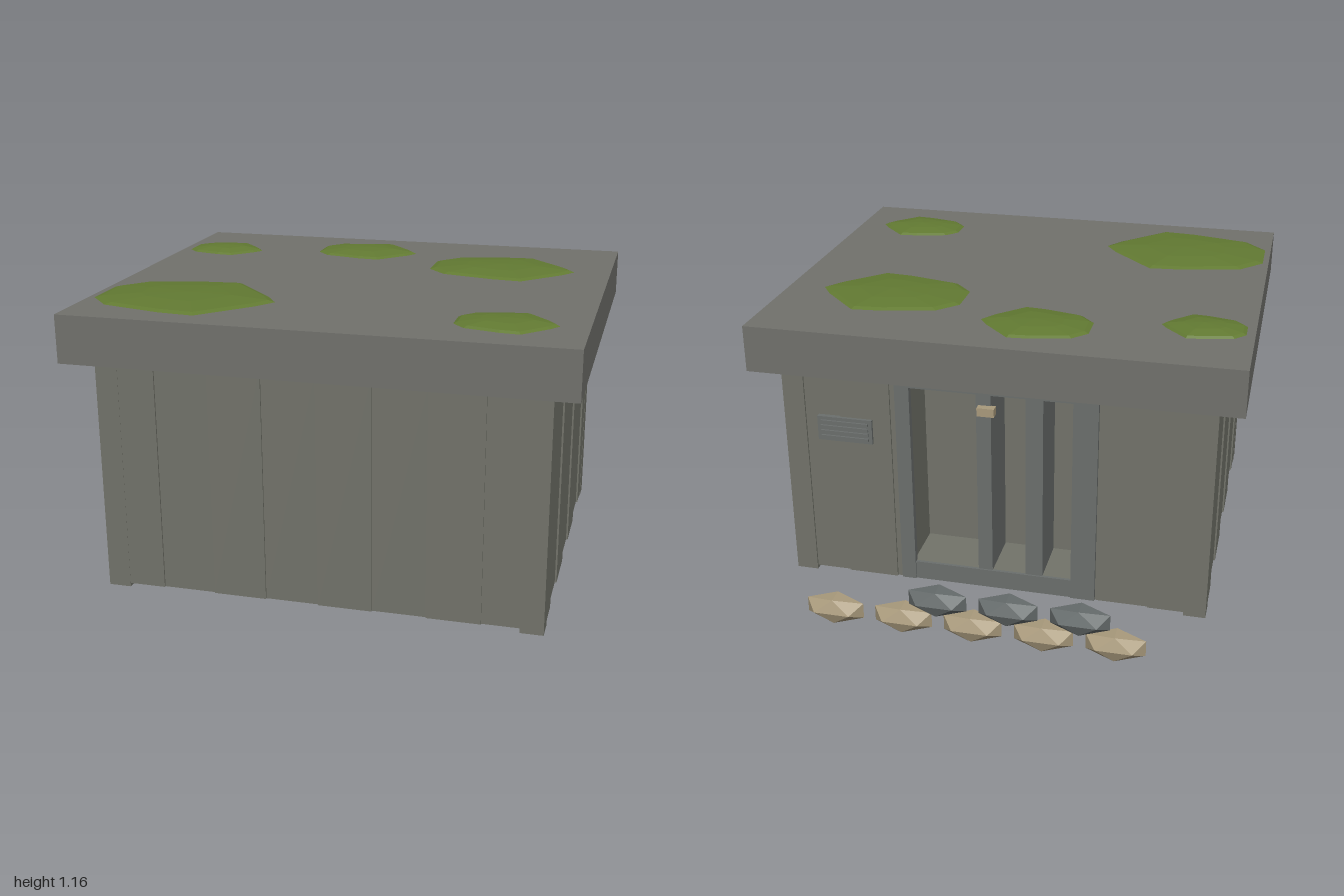
import * as THREE from 'three';

const mat = (name, color) => Object.assign(new THREE.MeshStandardMaterial({ color }), { name });

export function createModel() {
  const wall = mat('concrete', 0x72736a);
  const roofMat = mat('roof concrete', 0x71716c);
  const steel = mat('grey steel', 0x6b6f6d);
  const moss = mat('moss green', 0x627a32);
  const sand = mat('sandbag tan', 0xa99a7c);
  const slate = mat('sandbag grey', 0x656b6b);
  moss.flatShading = sand.flatShading = slate.flatShading = true;

  const model = new THREE.Group();
  const add = (name, geometry, material) => {
    const mesh = new THREE.Mesh(geometry, material);
    mesh.name = name;
    model.add(mesh);
    return mesh;
  };
  // Box given by its limits on each axis
  const box = (name, x0, x1, y0, y1, z0, z1, material = wall) => {
    const m = add(name, new THREE.BoxGeometry(x1 - x0, y1 - y0, z1 - z0), material);
    m.position.set((x0 + x1) / 2, (y0 + y1) / 2, (z0 + z1) / 2);
    return m;
  };

  // Slab roof and hollow-backed body
  box('roof', -0.975, 0.975, 0.95, 1.14, -0.69, 1);
  model.children[0].material = roofMat;
  box('body', -0.865, 0.865, 0.015, 0.95, -0.36, 0.89);
  box('backWallLeft', 0.35, 0.865, 0.015, 0.95, -0.58, -0.36);
  box('backWallRight', -0.865, -0.33, 0.015, 0.95, -0.58, -0.36);
  box('lintel', -0.33, 0.35, 0.9, 0.95, -0.58, -0.36);
  box('sill', -0.33, 0.35, 0.015, 0.1, -0.58, -0.36);

  // Corner posts, which carry the feet
  for (const x of [-0.83, 0.83])
    for (const z of [-0.545, 0.855])
      box('cornerPost', x - 0.045, x + 0.045, 0, 0.95, z - 0.045, z + 0.045);

  // Wall planks, alternately standing proud
  const step = (i) => (i % 2 ? 0.002 : 0.009);
  for (let i = 0; i < 8; i++) {
    const a = Math.max(-0.79, -0.85 + i * 0.2125);
    const b = Math.min(0.79, -0.85 + (i + 1) * 0.2125);
    box('frontPlank', a, b, 0.015, 0.95, 0.88, 0.89 + step(i));
    if (a > 0.4 || b < -0.4) box('backPlank', a, b, 0.015, 0.95, -0.58 - step(i), -0.57);
  }
  for (let i = 0; i < 7; i++) {
    const a = Math.max(-0.505, -0.595 + i * 0.2145);
    const b = Math.min(0.815, -0.595 + (i + 1) * 0.2145);
    box('leftPlank', 0.86, 0.865 + step(i), 0.015, 0.95, a, b);
    box('rightPlank', -0.865 - step(i), -0.86, 0.015, 0.95, a, b);
  }

  // Doorway frame and the deep uprights in the opening
  box('frameLeft', 0.34, 0.4, 0.02, 0.94, -0.598, -0.57, steel);
  box('frameRight', -0.42, -0.32, 0.02, 0.94, -0.598, -0.57, steel);
  box('frameTop', -0.32, 0.34, 0.9, 0.94, -0.598, -0.57, steel);
  box('frameBottom', -0.32, 0.34, 0.02, 0.1, -0.592, -0.57, steel);
  box('upright', 0.01, 0.07, 0.1, 0.9, -0.585, -0.36, steel);
  box('upright', -0.2, -0.13, 0.1, 0.9, -0.585, -0.36, steel);
  box('doorLamp', -0.01, 0.06, 0.815, 0.85, -0.615, -0.58, sand);

  // Louvred vent beside the door
  box('vent', 0.5, 0.73, 0.635, 0.74, -0.602, -0.58, steel);
  for (let i = 0; i < 4; i++)
    box('ventSlat', 0.515, 0.715, 0.648 + i * 0.022, 0.66 + i * 0.022, -0.61, -0.6, steel);

  // Low moss cushions: outline rising to a shallow crown
  const half = [[1, 0], [0.85, -0.3], [0.35, -1], [-0.05, -0.95], [-0.75, -0.72], [-1, -0.35]];
  const outline = [...half, ...half.slice(1).reverse().map(([x, z]) => [x, -z])];
  const n = outline.length;
  const pos = [];
  for (const [scale, y] of [[1, 0], [0.92, 0.008], [0.5, 0.019]])
    for (const [x, z] of outline) pos.push(x * scale, y, z * scale);
  pos.push(0, 0.023, 0);
  const index = [];
  for (let i = 0; i < n; i++) {
    const j = (i + 1) % n;
    for (const r of [0, n]) index.push(r + i, r + j, r + n + i, r + j, r + n + j, r + n + i);
    index.push(2 * n + i, 2 * n + j, 3 * n);
  }
  const mossGeo = new THREE.BufferGeometry();
  mossGeo.setAttribute('position', new THREE.Float32BufferAttribute(pos, 3));
  mossGeo.setIndex(index);
  mossGeo.computeVertexNormals();
  moss.side = THREE.DoubleSide;
  const patches = [
    [-0.595, 0.62, 0.355, 0.27], [0.675, 0.715, 0.19, 0.145], [0.52, -0.195, 0.305, 0.225],
    [-0.13, -0.41, 0.22, 0.165], [-0.775, -0.305, 0.165, 0.125],
  ];
  for (const [x, z, sx, sz] of patches) {
    const m = add('mossPatch', mossGeo, moss);
    m.position.set(x, 1.14, z);
    m.scale.set(sx, 1, sz);
  }

  // Two courses of sandbags behind the building
  const bagGeo = new THREE.IcosahedronGeometry(1, 0).rotateY(Math.PI / 2).scale(0.137, 0.062, 0.065);
  const bag = (x, y, material) => add('sandbag', bagGeo, material).position.set(x, y, -0.945);
  for (let i = 0; i < 5; i++) bag(-0.565 + i * 0.2825, 0.07, sand);
  for (let i = 0; i < 3; i++) bag(-0.425 + i * 0.2825, 0.165, slate);

  return model;
}
